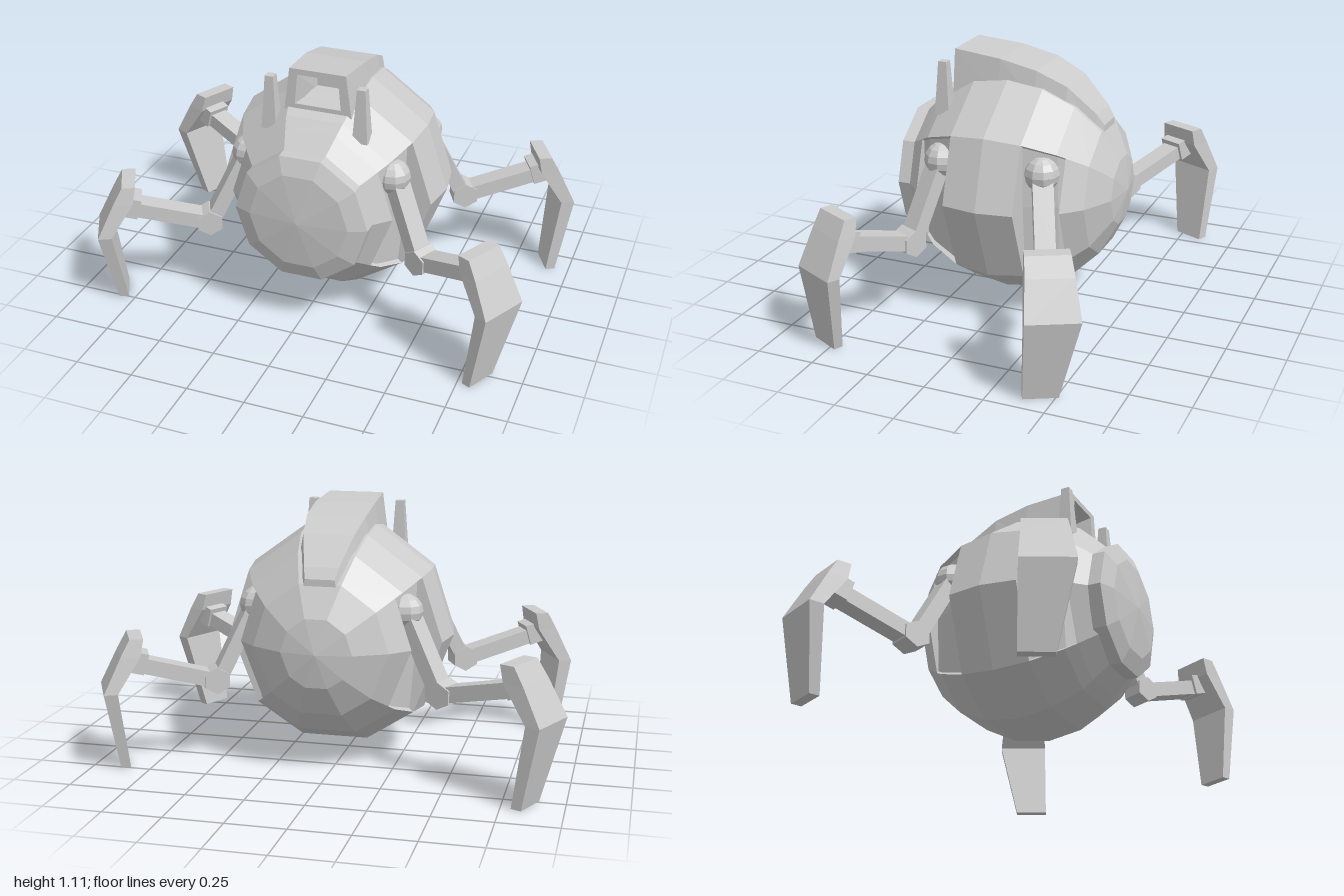
import * as THREE from 'three';

const CX = 0.027, CY = 0.545; // centre of the round body
const material = new THREE.MeshStandardMaterial({ color: 0xcccccc, flatShading: true });

function add(parent, name, geometry, x = 0, y = 0, z = 0) {
  const mesh = new THREE.Mesh(geometry, material);
  mesh.name = name;
  mesh.position.set(x, y, z);
  parent.add(mesh);
  return mesh;
}

// Skin a series of closed rings of [x, y, z], counter-clockwise about the direction of travel.
function loft(rings) {
  const pos = [];
  const [p, q, r, e1, e2] = Array.from({ length: 5 }, () => new THREE.Vector3());
  const tri = (a, b, c) => {
    p.fromArray(a); q.fromArray(b); r.fromArray(c);
    e1.subVectors(q, p); e2.subVectors(r, p);
    if (e1.cross(e2).length() > 1e-8) pos.push(...a, ...b, ...c);
  };
  const n = rings[0].length, last = rings.length - 1;
  for (let i = 0; i < last; i++) {
    const a = rings[i], b = rings[i + 1];
    for (let j = 0; j < n; j++) {
      const k = (j + 1) % n;
      tri(a[j], a[k], b[k]);
      tri(a[j], b[k], b[j]);
    }
  }
  for (let j = 1; j < n - 1; j++) {
    tri(rings[0][0], rings[0][j + 1], rings[0][j]);
    tri(rings[last][0], rings[last][j], rings[last][j + 1]);
  }
  const g = new THREE.BufferGeometry();
  g.setAttribute('position', new THREE.Float32BufferAttribute(pos, 3));
  g.computeVertexNormals();
  return g;
}

// Ten-sided ball along z; doubled stations and angles make the walls of the leg sockets.
function bodyGeometry() {
  const stations = [ // z, radius, in socket
    [-0.49, 0, 0], [-0.466, 0.151, 0], [-0.396, 0.288, 0], [-0.318, 0.366, 0], [-0.318, 0.366, 1],
    [-0.288, 0.396, 1], [-0.155, 0.466, 1], [-0.155, 0.466, 0], [0, 0.49, 0], [0.155, 0.466, 0],
    [0.155, 0.466, 1], [0.288, 0.396, 1], [0.33, 0.356, 1], [0.33, 0.356, 0], [0.405, 0.28, 0]];
  const angles = [ // degrees, socket floor as a share of the radius
    [-42, 1], [-42, 0.95], [0, 0.76], [36, 0.94], [36, 1], [72, 1], [108, 1],
    [144, 1], [144, 0.94], [180, 0.76], [222, 0.95], [222, 1], [252, 1], [288, 1]];
  return loft(stations.map(([z, radius, socket]) => angles.map(([deg, floor]) => {
    const r = socket ? radius * floor : radius;
    const a = THREE.MathUtils.degToRad(deg);
    return [r * Math.cos(a), r * Math.sin(a), z];
  })));
}

// Round ten-sided front plate with a shallow pointed centre.
function noseGeometry() {
  const profile = [[0.29, 0.39], [0.29, 0.45], [0.215, 0.48], [0, 0.5]];
  return loft(profile.map(([r, z]) => Array.from({ length: 10 }, (_, j) => {
    const a = j * Math.PI / 5;
    return [r * Math.cos(a), r * Math.sin(a), z];
  })));
}

// Top hood: hollow mouth at the front, tapering down the back.
function hoodGeometry() {
  const sections = [ // z, bottom y, bottom half width, top y, top half width
    [0.12, 0.98, 0.05, 1.04, 0.05], [0.25, 0.96, 0.1, 1.09, 0.088],
    [0.25, 0.9, 0.15, 1.115, 0.122], [0.04, 0.93, 0.155, 1.095, 0.132], [-0.12, 0.93, 0.15, 1.06, 0.127],
    [-0.25, 0.88, 0.13, 1.0, 0.108], [-0.37, 0.78, 0.09, 0.885, 0.073], [-0.4, 0.74, 0.08, 0.84, 0.063]];
  return loft(sections.map(([z, b, wb, t, wt]) => [[wb, b, z], [-wb, b, z], [-wt, t, z], [wt, t, z]]));
}

// Bent blade foot, its tip swept to one side.
function footGeometry() {
  const sections = [ // y, inner, outer, sideways centre, half width
    [0.005, 0.505, 0.545, 0.055, 0.07], [0.35, 0.55, 0.606, 0.015, 0.108],
    [0.5, 0.455, 0.535, 0.02, 0.095], [0.575, 0.44, 0.495, 0.025, 0.088]];
  return loft(sections.map(([y, i, o, c, w]) => [[o, y, c + w], [o, y, c - w], [i, y, c - w], [i, y, c + w]]));
}

// Straight limb between two points [outward, y].
function bar(parent, name, [x0, y0], [x1, y1], thick, width) {
  const g = new THREE.BoxGeometry(Math.hypot(x1 - x0, y1 - y0), thick, width);
  add(parent, name, g, (x0 + x1) / 2, (y0 + y1) / 2).rotation.z = Math.atan2(y1 - y0, x1 - x0);
}

// One leg, reaching along its own +x; the four are turned copies of each other.
function leg(name, sx, sz, reach, degrees) {
  const g = new THREE.Group();
  const a = THREE.MathUtils.degToRad(degrees);
  g.name = name;
  add(g, 'shoulderBall', new THREE.SphereGeometry(0.075, 10, 8), -0.035, 0.69);
  bar(g, 'upperLeg', [-0.01, 0.67], [0.135, 0.37], 0.06, 0.085);
  add(g, 'knee', new THREE.CylinderGeometry(0.058, 0.058, 0.1, 6), 0.145, 0.37).rotation.x = Math.PI / 2;
  bar(g, 'lowerLeg', [0.15, 0.37], [0.5, 0.47], 0.065, 0.085);
  bar(g, 'ankleCuff', [0.43, 0.46], [0.5, 0.48], 0.09, 0.11);
  add(g, 'foot', footGeometry());
  g.scale.x = reach;
  g.rotation.y = -Math.atan2(sz * Math.sin(a), sx * Math.cos(a));
  g.position.set(CX + sx * 0.35, 0, sz * 0.24);
  return g;
}

export function createModel() {
  const model = new THREE.Group();
  model.name = 'walkingPod';
  add(model, 'body', bodyGeometry(), CX, CY);
  add(model, 'nosePlate', noseGeometry(), CX, CY);
  add(model, 'hood', hoodGeometry(), CX);

  // Small tapered posts beside the hood
  for (const s of [-1, 1]) {
    const post = new THREE.CylinderGeometry(0.026, 0.046, 0.23, 4).rotateY(Math.PI / 4);
    add(model, s > 0 ? 'leftPost' : 'rightPost', post, CX + s * 0.198, 0.965, 0.265);
  }

  model.add(
    leg('frontLeftLeg', 1, 1, 1.0, 27), leg('rearLeftLeg', 1, -1, 1.04, 27),
    leg('frontRightLeg', -1, 1, 1.04, 27.5), leg('rearRightLeg', -1, -1, 1.14, 25));
  return model;
}
